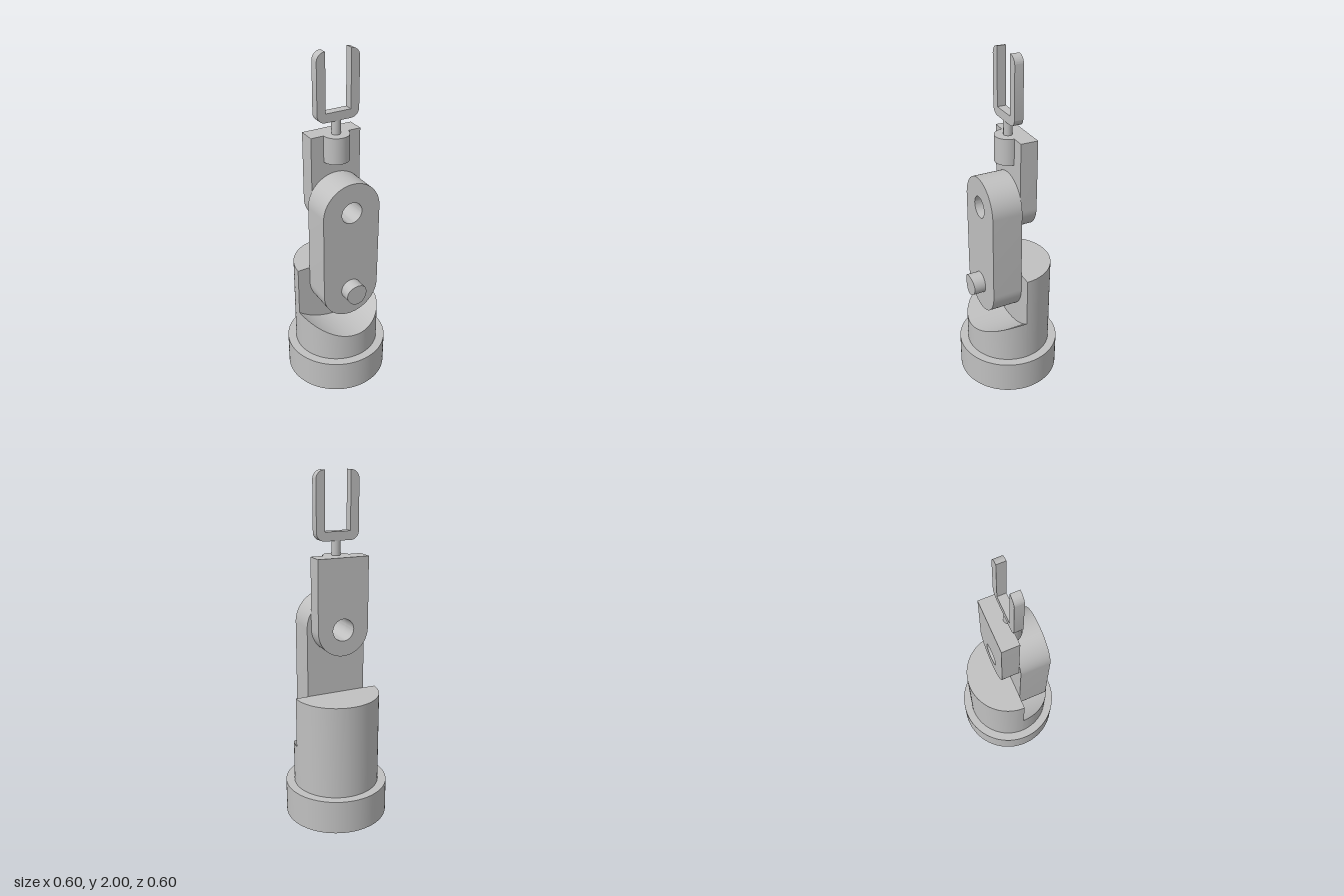
import * as THREE from 'three';
import { toCreasedNormals } from 'three/addons/utils/BufferGeometryUtils.js';
import { ParametricGeometry } from 'three/addons/geometries/ParametricGeometry.js';

const PI = Math.PI;
const TURRET_R = 0.25, PIVOT_R = 0.0625;
const SHOULDER_Y = 0.65, ELBOW_Y = 1.15;

export function createModel() {
  const model = new THREE.Group();
  const grey = new THREE.MeshStandardMaterial({ color: 0xc0c0c0 });
  grey.name = 'light grey';

  function add(name, geometry, x = 0, y = 0, z = 0, parent = model) {
    const mesh = new THREE.Mesh(geometry, grey);
    mesh.name = name;
    mesh.position.set(x, y, z);
    parent.add(mesh);
    return mesh;
  }

  // Flat plate cut from a front outline, thickened along +z, smooth on its curves
  function plate(shape, depth) {
    const g = new THREE.ExtrudeGeometry(shape, { depth, bevelEnabled: false, curveSegments: 24 });
    return toCreasedNormals(g, 0.6);
  }

  function pivotHole(shape) {
    shape.holes.push(new THREE.Path().absarc(0, ELBOW_Y, PIVOT_R, 0, 2 * PI, true));
    return shape;
  }

  function sheet(fn, slices, stacks) {
    const g = new ParametricGeometry(fn, slices, stacks);
    g.computeVertexNormals();
    return g;
  }

  // Half a cylinder facing +z, its top following a height rule across x
  function turretHalf(name, height) {
    const half = new THREE.Group();
    half.name = name;
    const at = (u) => {
      const a = (u - 0.5) * PI;
      return [TURRET_R * Math.sin(a), TURRET_R * Math.cos(a)];
    };
    add(name + 'Wall', sheet((u, v, p) => {
      const [x, z] = at(u);
      p.set(x, 0.2 + v * (height(x) - 0.2), z);
    }, 48, 1), 0, 0, 0, half);
    add(name + 'Top', sheet((u, v, p) => {
      const [x, z] = at(u);
      p.set(x, height(x), z * (1 - v));
    }, 48, 1), 0, 0, 0, half);
    model.add(half);
    return half;
  }

  // Base and turret: tall back half, front half scooped out below the arm
  add('base', new THREE.CylinderGeometry(0.3, 0.3, 0.2, 72), 0, 0.1, 0);
  turretHalf('turretFront', (x) => 0.755 - Math.sqrt(0.393 ** 2 - x * x));
  turretHalf('turretBack', () => 0.75).rotation.y = PI;
  add('turretFace', new THREE.PlaneGeometry(2 * TURRET_R, 0.4), 0, 0.55, 0);

  // Shoulder pin, its end following the round of the turret
  const pin = new THREE.CylinderGeometry(PIVOT_R, PIVOT_R, TURRET_R, 36);
  pin.rotateX(PI / 2).translate(0, 0, TURRET_R / 2);
  const pos = pin.attributes.position;
  for (let i = 0; i < pos.count; i++) {
    if (pos.getZ(i) > 0.1) pos.setZ(i, Math.sqrt(TURRET_R ** 2 - pos.getX(i) ** 2));
  }
  add('shoulderPin', pin, 0, SHOULDER_Y, 0);

  // Lower arm: round at both ends
  const lower = new THREE.Shape();
  lower.absarc(0, SHOULDER_Y, 0.175, PI, 2 * PI, false);
  lower.absarc(0, ELBOW_Y, 0.175, 0, PI, false);
  lower.closePath();
  add('lowerArm', plate(pivotHole(lower), 0.175));

  // Upper arm: round at the elbow, square at the wrist
  const upper = new THREE.Shape();
  upper.absarc(0, ELBOW_Y, 0.15, PI, 2 * PI, false);
  upper.lineTo(0.15, 1.55);
  upper.lineTo(-0.15, 1.55);
  upper.closePath();
  add('upperArm', plate(pivotHole(upper), 0.1), 0, 0, -0.1);

  // Wrist: half-round boss and thin rod
  add('wristBoss', new THREE.CylinderGeometry(0.075, 0.075, 0.15, 24, 1, false, -PI / 2, PI), 0, 1.475, 0);
  add('wristRod', new THREE.CylinderGeometry(0.025, 0.025, 0.1, 24), 0, 1.59, 0);

  // Two-pronged gripper with rounded outer corners
  const w = 0.125, r = 0.048, inner = 0.075, low = 1.63, floor = 1.68;
  const fork = new THREE.Shape();
  fork.absarc(-w + r, low + r, r, PI, 1.5 * PI, false);
  fork.absarc(w - r, low + r, r, 1.5 * PI, 2 * PI, false);
  fork.absarc(w - r, 2 - r, r, 0, PI / 2, false);
  fork.lineTo(inner, 2);
  fork.lineTo(inner, floor);
  fork.lineTo(-inner, floor);
  fork.lineTo(-inner, 2);
  fork.absarc(-w + r, 2 - r, r, PI / 2, PI, false);
  fork.closePath();
  add('gripper', plate(fork, 0.05), 0, 0, -0.025);

  return model;
}
